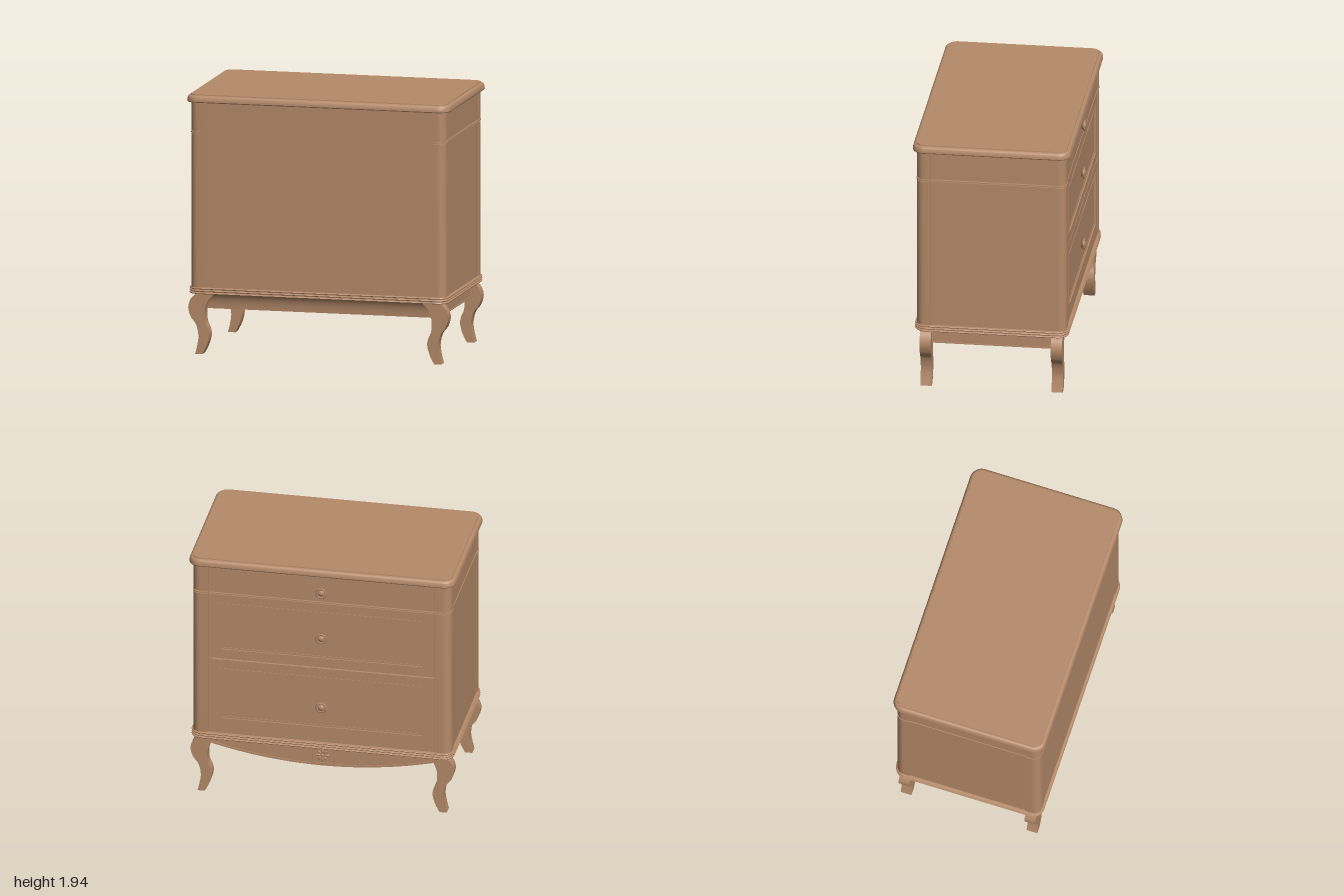
import * as THREE from 'three';
import { toCreasedNormals } from 'three/addons/utils/BufferGeometryUtils.js';

const wood = new THREE.MeshStandardMaterial({ color: 0xb58a69 });
wood.name = 'warm wood';

function add(parent, name, geometry, x = 0, y = 0, z = 0) {
  const mesh = new THREE.Mesh(geometry, wood);
  mesh.name = name;
  mesh.position.set(x, y, z);
  parent.add(mesh);
  return mesh;
}

const box = (w, h, d) => new THREE.BoxGeometry(w, h, d);

// Rounded rectangle slab whose edge follows [inset, y] pairs from bottom to top
function mouldedSlab(hw, hd, r, profile) {
  const pos = [], idx = [], seg = 8, n = 4 * (seg + 1);
  for (const [inset, y] of profile) {
    for (let c = 0; c < 4; c++) {
      const sx = c === 0 || c === 3 ? 1 : -1, sz = c < 2 ? 1 : -1;
      for (let i = 0; i <= seg; i++) {
        const a = (c + i / seg) * Math.PI / 2;
        pos.push(sx * (hw - r) + Math.cos(a) * (r - inset), y, sz * (hd - r) + Math.sin(a) * (r - inset));
      }
    }
  }
  const last = profile.length - 1;
  pos.push(0, profile[0][1], 0, 0, profile[last][1], 0);
  const bottom = n * (last + 1), top = bottom + 1;
  for (let i = 0; i < n; i++) {
    const j = (i + 1) % n;
    for (let k = 0; k < last; k++) {
      const a = k * n + i, b = k * n + j;
      idx.push(a, a + n, b, b, a + n, b + n);
    }
    idx.push(bottom, i, j, top, last * n + j, last * n + i);
  }
  const g = new THREE.BufferGeometry();
  g.setAttribute('position', new THREE.Float32BufferAttribute(pos, 3));
  g.setIndex(idx);
  return toCreasedNormals(g, 0.55);
}

// Corner post section with a rounded outer corner, between two heights
function postGeometry(sx, sz, y0, y1, grow = 0) {
  const s = new THREE.Shape(), X = 0.97 + grow, Z = 0.557 + grow, r = 0.06;
  s.moveTo(sx * 0.85, sz * 0.45);
  s.lineTo(sx * X, sz * 0.45);
  s.lineTo(sx * X, sz * (Z - r));
  s.bezierCurveTo(sx * X, sz * (Z - r * 0.45), sx * (X - r * 0.45), sz * Z, sx * (X - r), sz * Z);
  s.lineTo(sx * 0.85, sz * Z);
  s.closePath();
  const g = new THREE.ExtrudeGeometry(s, { depth: y1 - y0, bevelEnabled: false, curveSegments: 8 });
  g.rotateX(Math.PI / 2).translate(0, y1, 0);
  return toCreasedNormals(g, 0.5);
}

// S-curved leg cut from a flat board
function legGeometry(sx) {
  const v = (x, y) => new THREE.Vector2(sx * x, y);
  const s = new THREE.Shape();
  s.moveTo(sx * 0.783, 0.455);
  s.lineTo(sx * 0.92, 0.455);
  s.splineThru([v(0.965, 0.415), v(0.987, 0.35), v(0.97, 0.28), v(0.928, 0.22), v(0.91, 0.14), v(0.918, 0.07), v(0.935, 0)]);
  s.lineTo(sx * 0.88, 0);
  s.splineThru([v(0.845, 0.07), v(0.828, 0.14), v(0.836, 0.19), v(0.858, 0.245), v(0.86, 0.33), v(0.83, 0.41), v(0.783, 0.455)]);
  const g = new THREE.ExtrudeGeometry(s, { depth: 0.083, bevelEnabled: false, curveSegments: 28 });
  return toCreasedNormals(g, 0.5);
}

function rect(path, w, h) {
  path.moveTo(-w / 2, -h / 2);
  path.lineTo(w / 2, -h / 2);
  path.lineTo(w / 2, h / 2);
  path.lineTo(-w / 2, h / 2);
  path.closePath();
  return path;
}

function frameGeometry(w, h, iw, ih, depth) {
  const s = rect(new THREE.Shape(), w, h);
  s.holes.push(rect(new THREE.Path(), iw, ih));
  return new THREE.ExtrudeGeometry(s, { depth, bevelEnabled: false });
}

function knobGeometry() {
  const p = [[0, 0], [0.03, 0], [0.026, 0.008], [0.041, 0.014], [0.043, 0.021], [0.037, 0.027], [0.029, 0.025], [0.026, 0.021], [0.02, 0.028], [0.01, 0.032], [0, 0.033]];
  const g = new THREE.LatheGeometry(p.map(([r, y]) => new THREE.Vector2(r, y)), 28);
  return g.rotateX(Math.PI / 2);
}

// Bowed apron; the lower edge is an arc, trimmed between two offsets
function apronGeometry(lift, depth, bandOnly) {
  const s = new THREE.Shape();
  const arc = (x, up) => 0.29 + up + 0.15 * x * x;
  const at = (i) => -0.84 + 1.68 * i / 32;
  for (let i = 0; i <= 32; i++) s[i ? 'lineTo' : 'moveTo'](at(i), arc(at(i), lift));
  if (bandOnly) for (let i = 32; i >= 0; i--) s.lineTo(at(i), arc(at(i), lift + 0.014));
  else { s.lineTo(0.84, 0.455); s.lineTo(-0.84, 0.455); }
  s.closePath();
  return toCreasedNormals(new THREE.ExtrudeGeometry(s, { depth, bevelEnabled: false }), 0.4);
}

export function createModel() {
  const model = new THREE.Group();
  model.name = 'chestOfDrawers';

  // Top with rounded-over edge
  const topEdge = [[0.03, 1.883], [0.004, 1.885], [0, 1.892], [0.001, 1.902]];
  for (let i = 1; i <= 6; i++) {
    const a = i / 6 * Math.PI / 2;
    topEdge.push([0.026 - 0.025 * Math.cos(a), 1.902 + 0.034 * Math.sin(a)]);
  }
  topEdge.push([0.029, 1.936], [0.03, 1.943]);
  add(model, 'top', mouldedSlab(1, 0.587, 0.09, topEdge));

  // Base moulding of three stacked beads
  const beads = [];
  for (let i = 0; i < 3; i++) {
    const y = 0.453 + i * 0.018;
    beads.push([0.014, y], [0.003, y + 0.002], [0, y + 0.007], [0.003, y + 0.012], [0.014, y + 0.014]);
  }
  add(model, 'baseMoulding', mouldedSlab(0.985, 0.571, 0.085, beads));

  // Carcass and panels
  add(model, 'carcass', box(1.9, 1.39, 1.06), 0, 1.195, 0);
  add(model, 'plainPanel', box(1.7, 1.39, 0.03), 0, 1.195, 0.537);
  for (const s of [-1, 1]) {
    add(model, 'sidePanelLower', box(0.03, 1.152, 0.9), s * 0.949, 1.074, 0);
    add(model, 'sidePanelBead', box(0.03, 0.008, 0.9), s * 0.953, 1.66, 0);
    add(model, 'sidePanelUpper', box(0.03, 0.22, 0.9), s * 0.949, 1.78, 0);
  }

  // Corner posts, legs and side aprons
  for (const sx of [-1, 1]) {
    for (const sz of [-1, 1]) {
      add(model, 'postLower', postGeometry(sx, sz, 0.5, 1.648));
      add(model, 'postNeck', postGeometry(sx, sz, 1.648, 1.672, -0.008));
      add(model, 'postBead', postGeometry(sx, sz, 1.655, 1.664, 0.002));
      add(model, 'postUpper', postGeometry(sx, sz, 1.672, 1.885));
      add(model, 'leg', legGeometry(sx), 0, 0, sz > 0 ? 0.445 : -0.528);
    }
    add(model, 'sideApron', box(0.03, 0.12, 0.9), sx * 0.89, 0.398, 0);
    add(model, 'sideApronTopRail', box(0.012, 0.014, 0.88), sx * 0.91, 0.448, 0);
    add(model, 'sideApronBottomRail', box(0.008, 0.008, 0.88), sx * 0.908, 0.342, 0);
  }

  // Coved apron on the plain side, extruded along x
  const cove = new THREE.Shape();
  cove.moveTo(-0.465, 0.34);
  cove.lineTo(-0.492, 0.34);
  cove.bezierCurveTo(-0.494, 0.39, -0.5, 0.425, -0.526, 0.455);
  cove.lineTo(-0.465, 0.455);
  cove.closePath();
  const coveGeo = new THREE.ExtrudeGeometry(cove, { depth: 1.72, bevelEnabled: false, curveSegments: 10 });
  coveGeo.rotateY(Math.PI / 2);
  add(model, 'covedApron', toCreasedNormals(coveGeo, 0.5), -0.86, 0, 0);

  // Drawer side, built facing +z and turned round
  const drawers = new THREE.Group();
  drawers.name = 'drawerSide';
  drawers.rotation.y = Math.PI;
  model.add(drawers);

  add(drawers, 'topDrawer', box(1.69, 0.218, 0.03), 0, 1.777, 0.535);
  add(drawers, 'drawerRail', box(1.69, 0.008, 0.03), 0, 1.658, 0.538);
  for (const [y0, y1, p0, p1] of [[1.122, 1.648, 1.19, 1.58], [0.505, 1.112, 0.62, 1.04]]) {
    const w = 1.52, h = p1 - p0, mid = (p0 + p1) / 2;
    const s = new THREE.Shape();
    s.moveTo(-0.845, y0);
    s.lineTo(0.845, y0);
    s.lineTo(0.845, y1);
    s.lineTo(-0.845, y1);
    s.closePath();
    const hole = new THREE.Path();
    hole.moveTo(-w / 2, p0);
    hole.lineTo(-w / 2, p1);
    hole.lineTo(w / 2, p1);
    hole.lineTo(w / 2, p0);
    hole.closePath();
    s.holes.push(hole);
    add(drawers, 'drawerFrame', new THREE.ExtrudeGeometry(s, { depth: 0.025, bevelEnabled: false }), 0, 0, 0.525);
    add(drawers, 'drawerPanel', box(w, h, 0.02), 0, mid, 0.53);
    add(drawers, 'drawerBeading', frameGeometry(w, h, w - 0.02, h - 0.02, 0.016), 0, mid, 0.538);
    add(drawers, 'drawerInnerBeading', frameGeometry(w - 0.02, h - 0.02, w - 0.045, h - 0.045, 0.006), 0, mid, 0.538);
  }
  for (const [y, z] of [[1.745, 0.549], [1.365, 0.545], [0.795, 0.545]]) add(drawers, 'knob', knobGeometry(), 0, y, z);

  // Bowed apron with edge bead and carved rosette block
  add(drawers, 'bowedApron', apronGeometry(0, 0.03), 0, 0, 0.475);
  add(drawers, 'apronBead', apronGeometry(0, 0.008, true), 0, 0, 0.504);
  add(drawers, 'rosetteBlock', frameGeometry(0.17, 0.14, 0.146, 0.116, 0.018), 0, 0.374, 0.502);
  add(drawers, 'rosettePlate', box(0.15, 0.12, 0.01), 0, 0.374, 0.505);
  for (let i = 0; i < 8; i++) {
    const a = i * Math.PI / 4;
    const petal = add(drawers, 'rosettePetal', new THREE.SphereGeometry(1, 10, 6), Math.cos(a) * 0.034, 0.374 + Math.sin(a) * 0.034, 0.51);
    petal.scale.set(0.018, 0.009, 0.008);
    petal.rotation.z = a;
  }
  add(drawers, 'rosetteCentre', new THREE.SphereGeometry(0.012, 12, 8), 0, 0.374, 0.51);

  return model;
}
